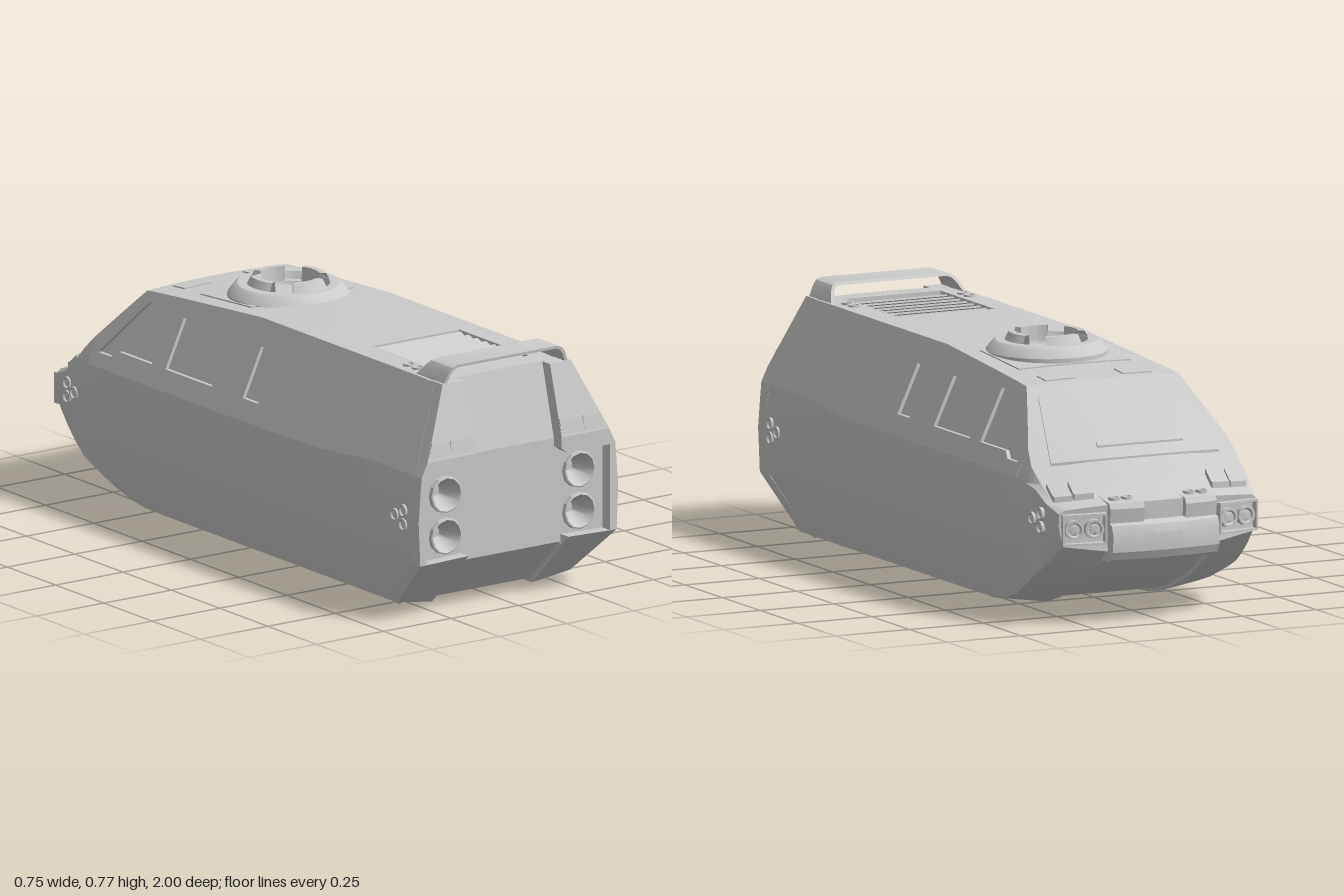
import * as THREE from 'three';
import { toCreasedNormals } from 'three/addons/utils/BufferGeometryUtils.js';

const grey = new THREE.MeshStandardMaterial({ color: 0xcccccc });
const V = (x, y, z) => new THREE.Vector3(x, y, z);
const shapeOf = pts => new THREE.Shape(pts.map(p => new THREE.Vector2(p[0], p[1])));
const plane = y => 0.37 - 0.46 * (y - 0.43);              // sloping cabin side
const bow = (x, z) => 0.3 * x * x * THREE.MathUtils.clamp((-0.4 - z) / 0.4, 0, 1); // rounded nose

// Hull stations: z, bottom y, lower chine y, belt y, roof y, narrowing
const stations = [
  [0.96, 0.15, 0.18, 0.455, 0.49, 0], [0.9, 0.094, 0.18, 0.455, 0.718, 0], [0.83, 0.028, 0.18, 0.455, 0.72, 0],
  [0.8, 0, 0.18, 0.455, 0.72, 0], [0.72, 0, 0.18, 0.453, 0.72, 0], [0.47, 0, 0.18, 0.434, 0.72, 0],
  [0, 0, 0.18, 0.43, 0.72, 0], [-0.4, 0, 0.18, 0.43, 0.693, 0], [-0.5, 0.003, 0.18, 0.43, 0.686, 0],
  [-0.57, 0.014, 0.18, 0.43, 0.68, 0], [-0.65, 0.038, 0.185, 0.43, 0.608, 0], [-0.75, 0.08, 0.2, 0.43, 0.519, 0],
  [-0.8, 0.105, 0.21, 0.42, 0.475, 0.006], [-0.85, 0.138, 0.225, 0.405, 0.43, 0.014],
  [-0.9, 0.175, 0.245, 0.37, 0.388, 0.022], [-0.96, 0.225, 0.275, 0.345, 0.37, 0.035]];
const PANEL_END = stations.findIndex(s => s[0] === -0.75);

function roofY(z) {
  const i = Math.max(1, stations.findIndex(s => s[0] <= z));
  const a = stations[i - 1], b = stations[i];
  return THREE.MathUtils.mapLinear(z, a[0], b[0], a[4], b[4]);
}

function halfSection([z, yb, yl, belt, yr, s]) {
  const side = y => Math.min(0.368, plane(y)) - s;
  const ye = yr - 0.08 * plane(yr) ** 2;
  const wb = Math.min(0.32 + 0.25 * yb, 0.355 - s);
  const pts = [[0, yb + 0.012], [0.18, yb + 0.012], [0.185, yb], [wb, yb + 0.02], [0.364 - s, yl],
    [0.37 - s, (yl + belt) / 2], [side(belt), belt], [Math.min(0.35, plane(ye)) - s, ye],
    [0.16, yr - 0.002], [0.08, yr - 0.0005], [0, yr]];
  return pts.map(([x, y]) => V(x, y, z + bow(x, z)));
}

function fromTriangles(list) {
  const g = new THREE.BufferGeometry().setFromPoints(list);
  return toCreasedNormals(g, 0.45);
}

// Skin between closed rings that run counter-clockwise seen from +z, going toward -z
function loft(rings, skip = () => false, capFront = false, capBack = false) {
  const t = [], n = rings[0].length;
  for (let j = 0; j < rings.length - 1; j++) for (let k = 0; k < n; k++) {
    if (skip(j, k)) continue;
    const a = rings[j][k], b = rings[j][(k + 1) % n], c = rings[j + 1][(k + 1) % n], d = rings[j + 1][k];
    t.push(a, d, c, a, c, b);
  }
  const fan = (r, back) => {
    const m = V(0, 0, 0);
    r.forEach(p => m.addScaledVector(p, 1 / n));
    if (back) m.z = Math.min(...r.map(p => p.z));
    r.forEach((p, k) => back ? t.push(m, r[(k + 1) % n], p) : t.push(m, p, r[(k + 1) % n]));
  };
  if (capFront) fan(rings[0], false);
  if (capBack) fan(rings.at(-1), true);
  return fromTriangles(t);
}

// Slab from a front outline pushed back by d
const slab = (pts, d) => {
  const front = pts.map(p => V(...p));
  return loft([front, front.map(p => V(p.x, p.y, p.z - d))], undefined, true, true);
};

function flipX(geo) {
  const g = geo.index ? geo.toNonIndexed() : geo.clone();
  g.scale(-1, 1, 1);
  for (const a of Object.values(g.attributes)) for (let i = 0; i < a.count; i += 3) for (let c = 0; c < a.itemSize; c++) {
    const v = a.getComponent(i + 1, c);
    a.setComponent(i + 1, c, a.getComponent(i + 2, c));
    a.setComponent(i + 2, c, v);
  }
  return g;
}

function warp(geo, fn) {
  const p = geo.attributes.position, v = V(0, 0, 0);
  for (let i = 0; i < p.count; i++) { fn(v.fromBufferAttribute(p, i)); p.setXYZ(i, v.x, v.y, v.z); }
  return toCreasedNormals(geo, 0.4);
}

// Thin plate following the roof; x limits are given at z0 and z1
function roofPatch(z0, z1, [a0, b0], [a1, b1], lift) {
  return warp(new THREE.BoxGeometry(1, 1, 1, 8, 1, 8), v => {
    const t = v.z + 0.5, z = z0 + (z1 - z0) * t, lerp = THREE.MathUtils.lerp;
    const x = lerp(lerp(a0, a1, t), lerp(b0, b1, t), v.x + 0.5);
    v.set(x, roofY(z) - 0.08 * x * x + (v.y > 0 ? lift : -0.015), z + bow(x, z));
  });
}

const lathe = (pts, n = 20, a = 0, l = Math.PI * 2) =>
  toCreasedNormals(new THREE.LatheGeometry(pts.map(p => new THREE.Vector2(...p)), n, a, l), 0.5);
const lamp = r => lathe([[r, -0.02], [r, 0.007], [r * 0.75, 0.007], [r * 0.6, 0.001], [r * 0.35, 0.004], [0, 0.005]], 16);

export function createModel() {
  const model = new THREE.Group();
  const add = (name, geo, mat = grey) => {
    const m = new THREE.Mesh(geo, mat);
    m.name = name;
    model.add(m);
    return m;
  };
  const pair = (name, geo) => { add(name + 'Left', geo); add(name + 'Right', flipX(geo)); };

  // Hull skin, open at the rear wall, cabin sides and grille
  const halves = stations.map(halfSection);
  const rings = halves.map(h => [...h, ...h.slice(1, -1).reverse().map(p => V(-p.x, p.y, p.z))]);
  add('hull', loft(rings, (j, k) => {
    const col = k < 10 ? k : 19 - k;
    const inGrille = stations[j][0] <= 0.83 && stations[j + 1][0] >= 0.47;
    return (col === 6 && j < PANEL_END) || (col >= 8 && inGrille);
  }, false, true));

  // Cabin sides with recessed windows, drawn in (-z, y)
  const side = halves.slice(0, PANEL_END + 1);
  const outline = [...side.map(h => [-h[6].z, h[6].y]), ...side.map(h => [-h[7].z, h[7].y]).reverse()];
  const windows = [
    [[-0.13, 0.49], [-0.05, 0.49], [-0.05, 0.64], [-0.13, 0.64]],
    [[0.11, 0.49], [0.35, 0.49], [0.35, 0.64], [0.11, 0.64]],
    [[0.42, 0.49], [0.59, 0.49], [0.62, 0.47], [0.685, 0.47], [0.53, 0.65], [0.42, 0.65]]];
  const toSide = geo => warp(geo, v => v.set(plane(v.y) + v.z - 0.012, v.y, -v.x));
  const sideShape = shapeOf(outline);
  sideShape.holes = windows.map(shapeOf);
  pair('cabinSide', toSide(new THREE.ExtrudeGeometry(sideShape, { depth: 0.012, bevelEnabled: false })));
  pair('windowPanes', toSide(new THREE.ShapeGeometry(shapeOf(outline))));

  // Rear wall with four funnel nozzles
  const wall = shapeOf(rings[0].map(p => [p.x, p.y]));
  for (const x of [-0.247, 0.247]) for (const y of [0.25, 0.38]) {
    wall.holes.push(new THREE.Path().absarc(x, y, 0.052, 0, Math.PI * 2, true));
    add('nozzle', lathe([[0.057, -0.01], [0.057, 0.014], [0.052, 0.016], [0.048, 0.008], [0.017, -0.05], [0, -0.05]], 12)
      .rotateX(Math.PI / 2)).position.set(x, y, 0.96);
  }
  add('rearWall', new THREE.ShapeGeometry(wall).translate(0, 0, 0.96));

  // Rear rim, corner blocks, lower legs and small blocks
  const rim = shapeOf([[0.16, 0.5], [0.16, 0.465], [0.18, 0.45], [0.34, 0.45], [0.34, 0.18], [0.364, 0.18],
    [0.37, 0.318], [0.359, 0.455], [0.337, 0.5]]);
  pair('rearRim', new THREE.ExtrudeGeometry(rim, { depth: 0.05, bevelEnabled: false }).translate(0, 0, 0.95));
  pair('rearCorner', slab([[0.16, 0.5, 1], [0.337, 0.5, 1], [0.238, 0.716, 0.94], [0.16, 0.716, 0.94]], 0.06));
  pair('rearLeg', slab([[0.185, 0, 0.81], [0.32, 0.02, 0.82], [0.364, 0.18, 1], [0.185, 0.185, 1]], 0.06));
  for (const [a, b, c] of [[0.161, 0.244, 0.244], [0.247, 0.336, 0.312]])
    pair('rearStep', slab([[a, 0.497, 1.0], [b, 0.497, 1.0], [c, 0.553, 0.989], [a, 0.553, 0.989]], 0.02));

  // Spoiler hoop
  const hoop = shapeOf([[0.237, 0.7], [0.215, 0.748], [0.203, 0.763], [0.185, 0.77], [-0.185, 0.77], [-0.203, 0.763],
    [-0.215, 0.748], [-0.237, 0.7], [-0.225, 0.7], [-0.207, 0.742], [-0.197, 0.755], [-0.183, 0.761],
    [0.183, 0.761], [0.197, 0.755], [0.207, 0.742], [0.225, 0.7]]);
  add('spoiler', warp(new THREE.ExtrudeGeometry(hoop, { depth: 1, bevelEnabled: false }), v => {
    const h = v.y - 0.715;
    v.z = v.z > 0.5 ? 0.935 + h * 0.15 : 0.79 + h * 0.9;
  }));

  // Engine grille
  const box = (name, w, h, d, x, y, z, tilt = 0) =>
    add(name, new THREE.BoxGeometry(w, h, d).rotateX(tilt).translate(x, y, z));
  box('grilleFloor', 0.34, 0.01, 0.38, 0, 0.68, 0.65);
  for (const x of [-0.164, 0.164]) box('grilleWall', 0.008, 0.04, 0.37, x, 0.698, 0.65);
  for (const z of [0.466, 0.834]) box('grilleWall', 0.33, 0.04, 0.008, 0, 0.698, z);
  for (let i = 0; i < 8; i++) box('grilleSlat', 0.322, 0.006, 0.04, 0, 0.704, 0.494 + i * 0.0445, 0.35);

  // Roof plates, windshield and hood blocks
  pair('roofHatch', roofPatch(-0.54, -0.48, [0.08, 0.18], [0.08, 0.18], 0.004));
  add('turretPlate', roofPatch(-0.38, -0.12, [-0.19, 0.19], [-0.19, 0.19], 0.004));
  add('windshield', roofPatch(-0.8, -0.6, [-0.285, 0.285], [-0.235, 0.235], 0.006));
  add('wiper', roofPatch(-0.768, -0.758, [-0.17, 0.12], [-0.17, 0.12], 0.012));
  pair('hoodBlock', roofPatch(-0.91, -0.862, [0.2, 0.262], [0.2, 0.262], 0.016));
  pair('hoodBlockOuter', roofPatch(-0.91, -0.862, [0.268, 0.325], [0.268, 0.328], 0.014));

  // Turret ring with raised collar segments
  const turret = new THREE.Group();
  turret.name = 'turret';
  turret.position.set(0, 0, -0.19);
  const part = (name, geo) => { const m = add(name, geo); turret.add(m); };
  part('turretRing', lathe([[0.185, 0.69], [0.185, 0.712], [0.165, 0.738], [0.155, 0.744], [0.125, 0.744], [0.115, 0.722],
    [0.092, 0.722], [0.088, 0.712], [0, 0.712]], 40));
  for (let i = 0; i < 4; i++) part('collarSegment', lathe([[0.128, 0.742], [0.114, 0.768], [0.094, 0.768],
    [0.09, 0.722]], 10, i * Math.PI / 2 - 0.5, 1).clone());
  turret.children.filter(c => c.name === 'collarSegment').forEach(c => {
    c.material = new THREE.MeshStandardMaterial({ color: 0xcccccc, side: THREE.DoubleSide });
  });
  model.add(turret);

  // Nose bumper beam and upper blocks, drawn in (-z, y)
  const beamShape = shapeOf([[0.88, 0.19], [0.965, 0.19], [0.987, 0.2], [0.999, 0.225], [1, 0.28], [0.99, 0.305], [0.97, 0.315], [0.88, 0.315]]);
  const blockShape = shapeOf([[0.86, 0.3], [0.975, 0.3], [0.982, 0.355], [0.972, 0.372], [0.93, 0.378], [0.86, 0.4]]);
  const across = (shape, a, b) => warp(new THREE.ExtrudeGeometry(shape, { depth: b - a, steps: 8, bevelEnabled: false }), v => {
    const x = v.z + a;
    v.set(x, v.y, -v.x + 0.45 * x * x);
  });
  add('bumperBeam', across(beamShape, -0.18, 0.18));
  pair('bumperBlock', across(blockShape, 0.07, 0.18));

  // Headlights in a raised frame
  const frame = shapeOf([[-0.07, -0.048], [0.07, -0.048], [0.07, 0.048], [-0.07, 0.048]]);
  frame.holes.push(shapeOf([[-0.064, -0.041], [0.064, -0.041], [0.064, 0.041], [-0.064, 0.041]]));
  const atNose = g => g.rotateY(-0.16).translate(0.258, 0.297, -0.942);
  pair('headlightFrame', atNose(new THREE.ExtrudeGeometry(frame, { depth: 0.03, bevelEnabled: false }).translate(0, 0, -0.015)));
  for (const dx of [-0.032, 0.032]) pair('headlight', atNose(lamp(0.03).rotateX(-Math.PI / 2).translate(dx, 0, -0.004)));

  // Small round lights on sides, roof, bumper and belly
  for (const [z, y, x] of [[0.92, 0.338, 0.368], [0.92, 0.295, 0.368], [0.876, 0.317, 0.368],
    [-0.842, 0.338, 0.352], [-0.842, 0.295, 0.352], [-0.798, 0.317, 0.358]])
    pair('sideLight', lamp(0.02).rotateZ(-Math.PI / 2).translate(x, y, z));
  for (const z of [0.705, 0.75]) pair('roofLight', lamp(0.018).translate(0.195, 0.716, z));
  for (const x of [0.105, 0.147]) pair('bumperLight', lamp(0.018).translate(x, 0.378, -0.925));
  for (const [z, r, x] of [[-0.38, 0.034, 0.25], [0.72, 0.034, 0.25], [0.785, 0.014, 0.22], [0.785, 0.014, 0.28]])
    pair('bellyLight', lamp(r).rotateX(Math.PI).translate(x, 0.012, z));
  for (const z of [-0.19, 0.58]) pair('bellyPlate', new THREE.BoxGeometry(0.04, 0.012, 0.07).translate(0.25, 0.01, z));

  return model;
}
